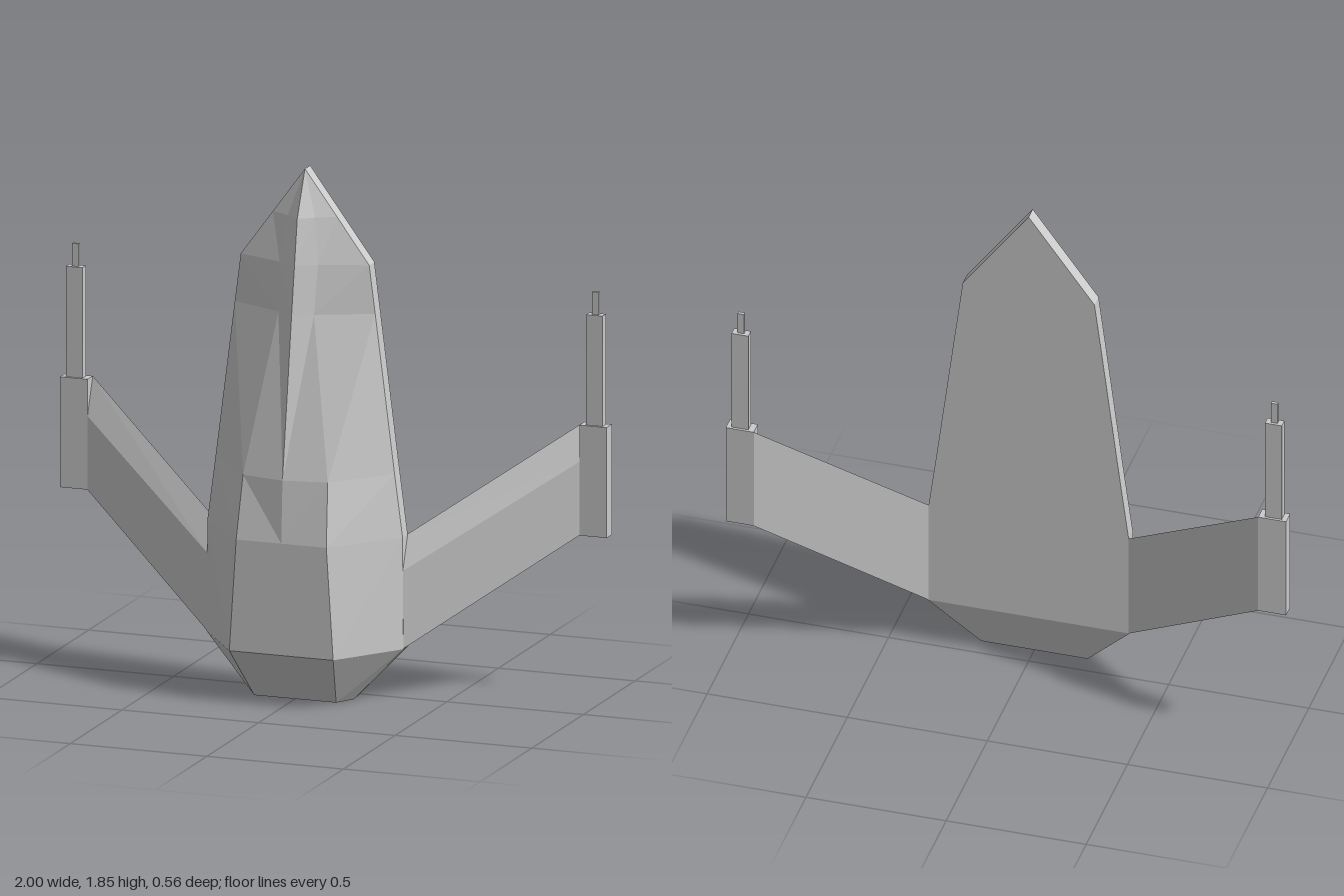
import * as THREE from 'three';

const material = new THREE.MeshStandardMaterial({ color: 0xcccccc, flatShading: true });

// Skin a series of equal-length rings of [x, y, z] corners and cap both ends
function loft(rings) {
  const pos = [];
  const tri = (a, b, c) => pos.push(...a, ...b, ...c);
  const n = rings[0].length;
  for (let s = 0; s < rings.length - 1; s++) {
    const lo = rings[s], hi = rings[s + 1];
    for (let i = 0; i < n; i++) {
      const j = (i + 1) % n;
      // diagonals are mirrored between the two halves of a ring
      if (i < n / 2 - 0.5) {
        tri(lo[i], hi[i], lo[j]);
        tri(lo[j], hi[i], hi[j]);
      } else {
        tri(lo[i], hi[i], hi[j]);
        tri(lo[i], hi[j], lo[j]);
      }
    }
  }
  const first = rings[0], last = rings[rings.length - 1];
  for (let i = 1; i < n - 1; i++) {
    tri(first[0], first[i], first[i + 1]);
    tri(last[0], last[i + 1], last[i]);
  }
  const geo = new THREE.BufferGeometry();
  geo.setAttribute('position', new THREE.Float32BufferAttribute(pos, 3));
  geo.computeVertexNormals();
  return geo;
}

function addMesh(parent, name, geo) {
  const mesh = new THREE.Mesh(geo, material);
  mesh.name = name;
  parent.add(mesh);
  return mesh;
}

function addBox(parent, name, [x0, x1], [y0, y1], [z0, z1], side) {
  const mesh = addMesh(parent, name, new THREE.BoxGeometry(x1 - x0, y1 - y0, z1 - z0));
  mesh.position.set(side * (x0 + x1) / 2, (y0 + y1) / 2, (z0 + z1) / 2);
}

// Hull stations: y, half width, back z, rim z, shoulder x, shoulder z, spine z
const stations = [
  [0.00, 0.19, 0.07, 0.078, 0.15, 0.145, 0.145],
  [0.185, 0.36, 0, 0.05, 0.19, 0.28, 0.28],
  [0.58, 0.357, 0, 0.05, 0.165, 0.28, 0.28],
  [0.80, 0.328, 0, 0.05, 0.155, 0.24, 0.268],
  [1.36, 0.257, 0, 0.05, 0.065, 0.135, 0.18],
  [1.53, 0.235, 0, 0.05, 0.07, 0.11, 0.152],
  [1.69, 0.1175, 0, 0.05, 0.05, 0.085, 0.125],
  [1.85, 0, 0, 0.05, 0, 0.05, 0.05],
];

function hullRing([y, w, zb, zr, sx, sz, zc]) {
  return [
    [w, y, zb], [w, y, zr], [sx, y, sz], [0, y, zc],
    [-sx, y, sz], [-w, y, zr], [-w, y, zb],
  ];
}

// Wing section: wedge with a bevelled upper front edge
function wingRing(x, bottom, bevel, top, back, front) {
  return [[x, bottom, front], [x, bevel, front], [x, top, back], [x, bottom, back]];
}

function addWing(parent, side) {
  const wing = new THREE.Group();
  wing.name = side > 0 ? 'leftWing' : 'rightWing';
  let rings = [
    wingRing(0.357, 0.185, 0.46, 0.58, 0, 0.05),
    wingRing(0.9, 0.57, 0.83, 0.96, -0.275, -0.225),
  ];
  if (side < 0) rings = rings.map(r => r.map(([x, y, z]) => [-x, y, z]).reverse());
  addMesh(wing, 'wingPanel', loft(rings));
  // Wing tip block and stepped gun barrel
  addBox(wing, 'wingTip', [0.9, 1], [0.57, 0.96], [-0.275, -0.225], side);
  addBox(wing, 'gunBarrel', [0.922, 0.982], [0.96, 1.35], [-0.266, -0.234], side);
  addBox(wing, 'gunMuzzle', [0.94, 0.964], [1.35, 1.43], [-0.256, -0.244], side);
  parent.add(wing);
}

export function createModel() {
  const model = new THREE.Group();
  model.name = 'wingedCraft';
  addMesh(model, 'hull', loft(stations.map(hullRing)));
  for (const side of [1, -1]) addWing(model, side);
  return model;
}
